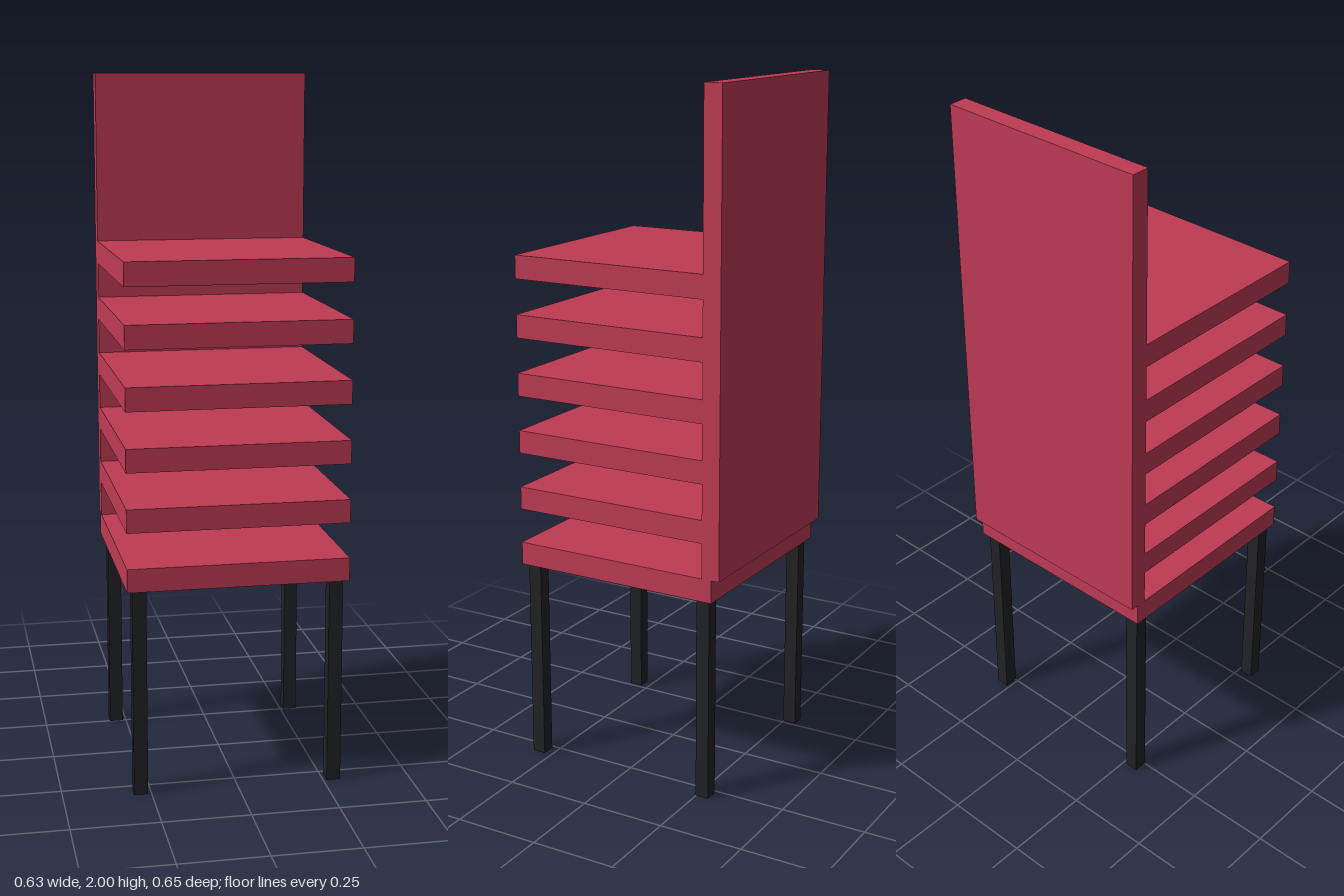
import * as THREE from 'three';

const WIDTH = 0.63;
const FRONT = 0.326, SEAT_REAR = -0.302;   // z limits of the seat
const BACK_FRONT = -0.272, BACK_REAR = -0.326; // z limits of the backrest
const SEAT_Y = 0.6, SEAT_H = 0.067, SEAT_STEP = 0.1686, SEATS = 6;
const TOP = 2, LEG = 0.04, LEG_X = 0.28;

export function createModel() {
  const group = new THREE.Group();
  group.name = 'stackedChairs';
  const red = new THREE.MeshStandardMaterial({ color: 0xbf3b55 });
  const black = new THREE.MeshStandardMaterial({ color: 0x222226 });

  // Box given by its width and its y and z limits
  function box(name, material, x, w, y0, y1, z0, z1) {
    const mesh = new THREE.Mesh(new THREE.BoxGeometry(w, y1 - y0, z1 - z0), material);
    mesh.position.set(x, (y0 + y1) / 2, (z0 + z1) / 2);
    mesh.name = name;
    group.add(mesh);
  }

  // Stacked seats: the lowest runs under the backrest, the others butt against it
  for (let i = 0; i < SEATS; i++) {
    const y = SEAT_Y + i * SEAT_STEP;
    box(`seat${i + 1}`, red, 0, WIDTH, y, y + SEAT_H, i === 0 ? SEAT_REAR : BACK_FRONT, FRONT);
  }

  // Backrest shared by the whole stack
  box('backrest', red, 0, WIDTH, SEAT_Y + SEAT_H, TOP, BACK_REAR, BACK_FRONT);

  // Four square legs
  for (const [side, x] of [['Left', LEG_X], ['Right', -LEG_X]]) {
    for (const [end, z] of [['front', 0.293], ['back', -0.268]]) {
      box(`${end}${side}Leg`, black, x, LEG, 0, SEAT_Y, z - LEG / 2, z + LEG / 2);
    }
  }
  return group;
}
